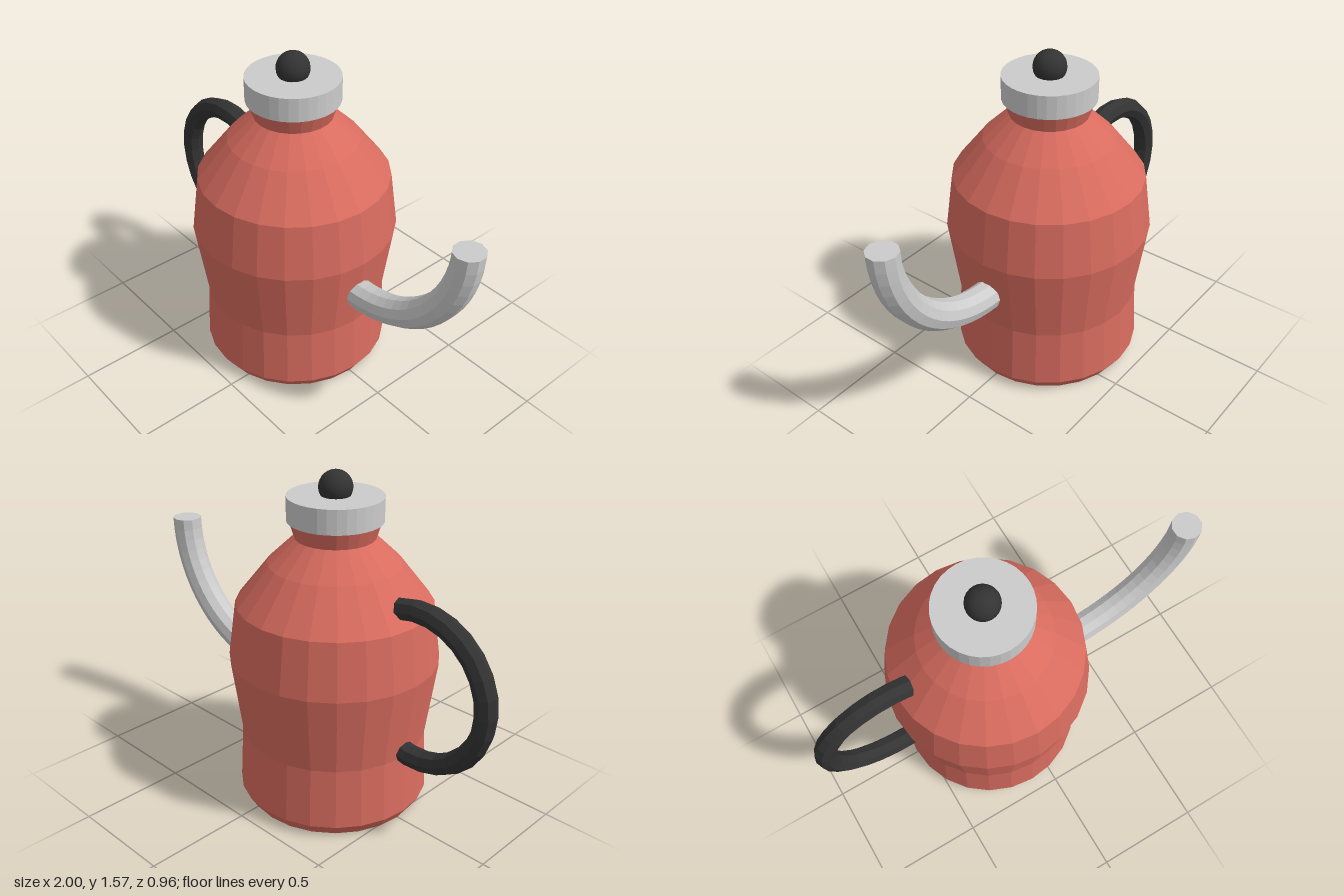
import * as THREE from 'three';

const AXIS_X = -0.11; // body axis, offset to leave room for the spout

// Circular arc in the XY plane, angles in radians
class Arc extends THREE.Curve {
  constructor(cx, cy, radius, start, end) {
    super();
    Object.assign(this, { cx, cy, radius, start, end });
  }
  getPoint(t, target = new THREE.Vector3()) {
    const a = this.start + (this.end - this.start) * t;
    return target.set(this.cx + this.radius * Math.cos(a), this.cy + this.radius * Math.sin(a), 0);
  }
}

function material(color) {
  return new THREE.MeshStandardMaterial({ color, flatShading: true });
}

function addMesh(parent, name, geometry, mat, x = 0, y = 0) {
  const mesh = new THREE.Mesh(geometry, mat);
  mesh.name = name;
  mesh.position.set(x, y, 0);
  parent.add(mesh);
  return mesh;
}

// Faceted bent tube with a flat cap on both ends
function bentTube(name, curve, steps, radius, sides, mat) {
  const group = new THREE.Group();
  group.name = name;
  addMesh(group, name + 'Tube', new THREE.TubeGeometry(curve, steps, radius, sides, false), mat);
  [0, 1].forEach((t) => {
    const p = curve.getPoint(t);
    const outward = curve.getTangent(t).multiplyScalar(t ? 1 : -1);
    const cap = addMesh(group, name + 'Cap', new THREE.CircleGeometry(radius, sides), mat, p.x, p.y);
    cap.lookAt(p.clone().add(outward));
    cap.rotateZ(t ? 0 : Math.PI);
  });
  return group;
}

export function createModel() {
  const model = new THREE.Group();
  model.name = 'kettle';
  const red = material(0xd96c5f);
  const grey = material(0xcccccc);
  const dark = material(0x333333);

  // Body: turned profile from the base centre up to the flared neck
  const profile = [
    [0, 0], [0.41, 0], [0.445, 0.055], [0.43, 0.34], [0.48, 0.71], [0.445, 0.97],
    [0.3, 1.155], [0.18, 1.27], [0.205, 1.35],
  ].map(([r, y]) => new THREE.Vector2(r, y));
  const body = addMesh(model, 'body', new THREE.LatheGeometry(profile, 24), red, AXIS_X);
  body.material.side = THREE.DoubleSide;

  // Lid and round knob
  addMesh(model, 'lid', new THREE.CylinderGeometry(0.213, 0.213, 0.11, 32), grey, AXIS_X, 1.4);
  const knobMat = dark.clone();
  knobMat.flatShading = false;
  addMesh(model, 'knob', new THREE.SphereGeometry(0.075, 24, 16), knobMat, AXIS_X, 1.49);

  // Spout: quarter arc rising to an upright tip
  model.add(bentTube('spout', new Arc(0.34, 1.12, 0.593, -Math.PI / 2, 0), 16, 0.07, 10, grey));

  // Handle: open loop whose ends sink into the body
  model.add(bentTube('handle', new Arc(-0.6, 0.71, 0.35, Math.PI * 0.4, Math.PI * 1.6), 16, 0.05, 8, dark));

  return model;
}
